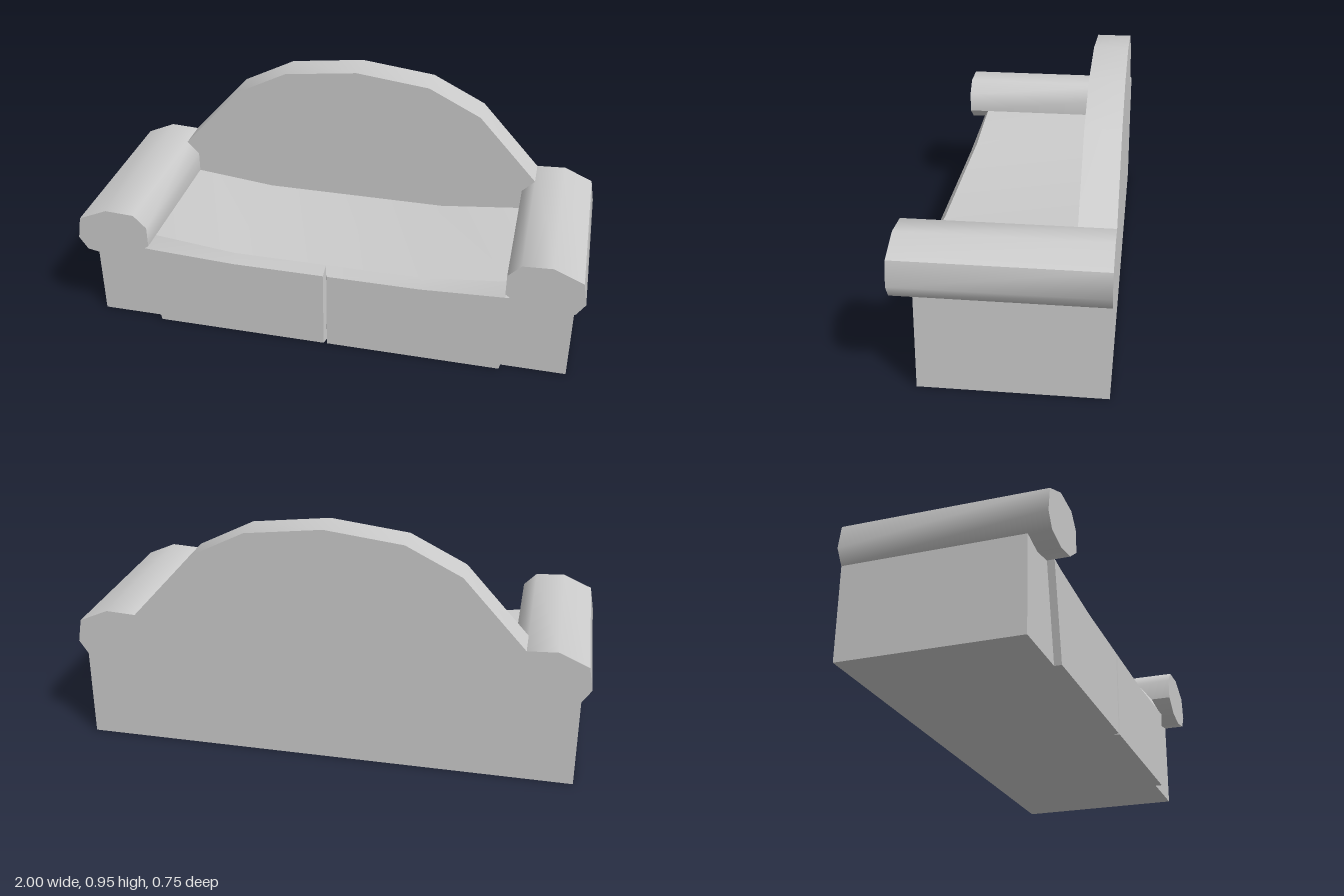
import * as THREE from 'three';
import { toCreasedNormals } from 'three/addons/utils/BufferGeometryUtils.js';

const material = new THREE.MeshStandardMaterial({ color: 0xcccccc });

function addMesh(group, name, geometry, crease) {
  const mesh = new THREE.Mesh(toCreasedNormals(geometry, crease), material);
  mesh.name = name;
  group.add(mesh);
}

// Extrude an outline from z0 to z1
function prism(points, z0, z1) {
  const shape = new THREE.Shape(points.map(([x, y]) => new THREE.Vector2(x, y)));
  const geometry = new THREE.ExtrudeGeometry(shape, { depth: z1 - z0, bevelEnabled: false });
  return geometry.translate(0, 0, z0);
}

// Join two matching outlines, rear and front, with a cap on the front
function loft(rear, front, zRear, zFront) {
  const n = rear.length;
  const position = [];
  const push = (p, z) => position.push(p[0], p[1], z);
  for (let i = 0; i < n; i++) {
    const j = (i + 1) % n;
    push(rear[i], zRear); push(rear[j], zRear); push(front[j], zFront);
    push(rear[i], zRear); push(front[j], zFront); push(front[i], zFront);
  }
  const cap = front.map(([x, y]) => new THREE.Vector2(x, y));
  for (const tri of THREE.ShapeUtils.triangulateShape(cap, [])) {
    for (const k of tri) push(front[k], zFront);
  }
  const geometry = new THREE.BufferGeometry();
  geometry.setAttribute('position', new THREE.Float32BufferAttribute(position, 3));
  return geometry;
}

const mirror = (points) => points.map(([x, y]) => [-x, y]).reverse();
const symmetric = (half) => [...half, ...mirror(half.filter(([x]) => x !== 0))];

export function createModel() {
  const sofa = new THREE.Group();
  sofa.name = 'sofa';

  // Base with the gently dished seat on top
  addMesh(sofa, 'baseAndSeat', prism(symmetric([
    [0.965, 0], [0.965, 0.36], [0.87, 0.4], [0.705, 0.406], [0.375, 0.37],
  ]), -0.375, 0.293), 0.3);

  // Arched backrest
  addMesh(sofa, 'backrest', prism(symmetric([
    [0.85, 0.3], [0.85, 0.45], [0.755, 0.54], [0.513, 0.807], [0.3, 0.914], [0, 0.95],
  ]), -0.375, -0.242), 0.5);

  // Rolled arms and front panels, mirrored about the middle
  const roll = [
    [1, 0.406], [0.984, 0.497], [0.87, 0.547], [0.755, 0.541], [0.705, 0.49],
    [0.705, 0.406], [0.775, 0.355], [0.87, 0.337], [0.966, 0.355],
  ];
  const panelRear = [
    [0, 0], [0.705, 0], [0.775, 0.355], [0.705, 0.406], [0.375, 0.37], [0, 0.37],
  ];
  const panelFront = [
    [0.007, 0], [0.705, 0], [0.775, 0.355], [0.705, 0.35], [0.375, 0.334], [0.007, 0.334],
  ];
  for (const [side, place] of [['left', (p) => p], ['right', mirror]]) {
    addMesh(sofa, side + 'Arm', prism(place(roll), -0.375, 0.375), 0.8);
    addMesh(sofa, side + 'FrontPanel', loft(place(panelRear), place(panelFront), 0.293, 0.32), 0.3);
  }
  return sofa;
}
